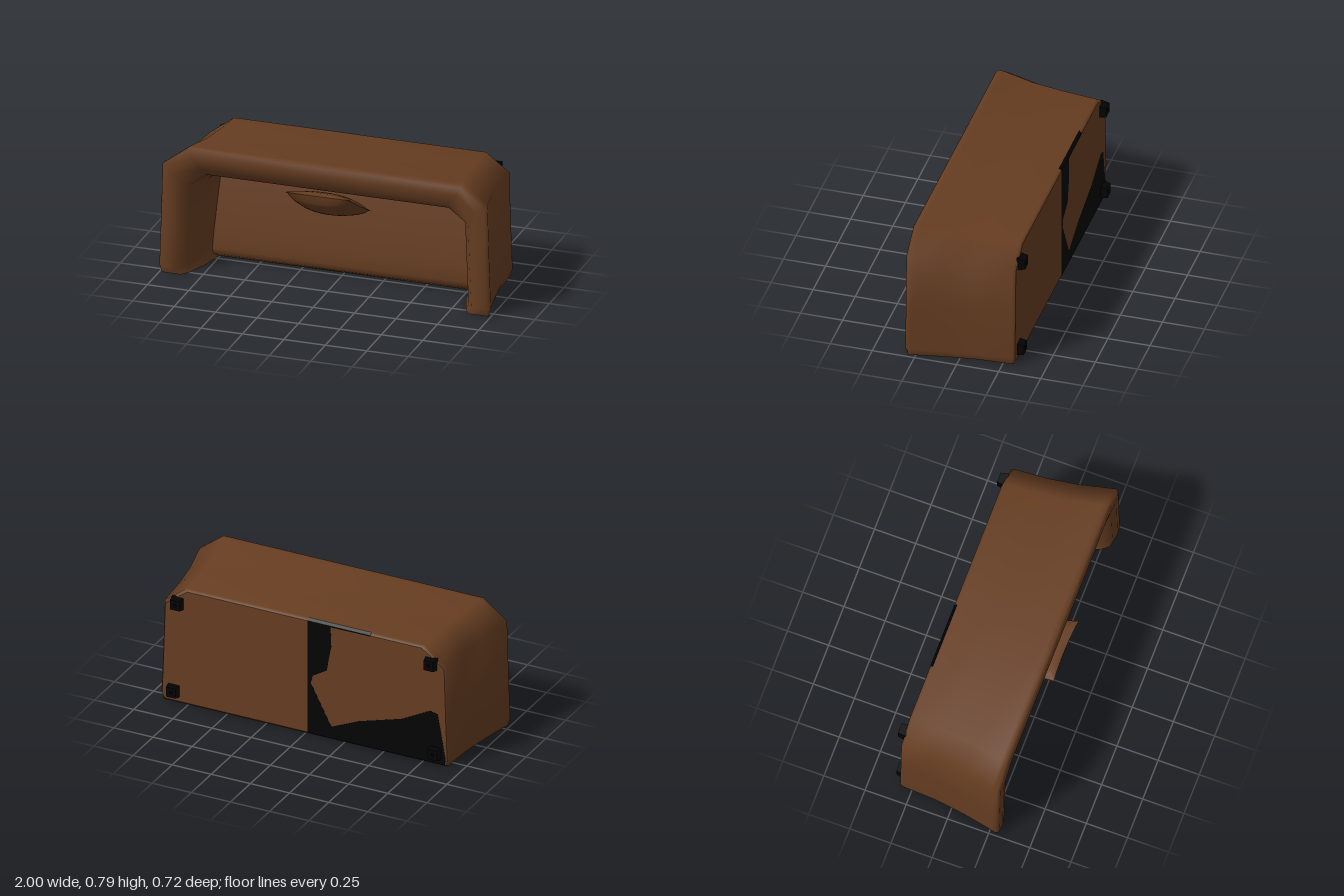
import * as THREE from 'three';

// Rings of the padded frame: half width, top height, corner cut, z
const RINGS = [
  [0.91, 0.732, 0.14, -0.32], [0.92, 0.746, 0.14, -0.305], [0.93, 0.757, 0.14, -0.1],
  [0.955, 0.77, 0.15, 0.08], [0.992, 0.789, 0.15, 0.265], [1.0, 0.786, 0.15, 0.293],
  [0.984, 0.773, 0.145, 0.308], [0.94, 0.728, 0.13, 0.313], [0.885, 0.667, 0.115, 0.302],
  [0.85, 0.618, 0.1, 0.25], [0.797, 0.582, 0.075, 0.1], [0.768, 0.556, 0.065, -0.1],
];

// Arch-shaped outline of one ring, from the foot of the +x arm over to the -x arm
function ringPoints([w, h, cut, z]) {
  const half = [
    [w - 0.016, 0, THREE.MathUtils.clamp(z, -0.305, 0.295)], [w, 0.045, z],
    [w - 0.01, (h - cut * 0.75) / 2, z], [w - 0.02, h - cut * 0.75, z], [w - 0.02 - cut, h, z],
  ];
  const mirrored = half.map(([x, y, d]) => [-x, y, d]).reverse();
  return [...half, [0, h, z], ...mirrored];
}

function frameGeometry() {
  const rings = RINGS.map(ringPoints);
  const n = rings[0].length;
  const index = [];
  for (let k = 0; k < rings.length - 1; k++) {
    for (let j = 0; j < n - 1; j++) {
      const a = k * n + j, b = a + 1, c = a + n, d = c + 1;
      index.push(a, b, c, b, d, c);
    }
  }
  const geo = new THREE.BufferGeometry();
  geo.setAttribute('position', new THREE.Float32BufferAttribute(rings.flat(2), 3));
  geo.setIndex(index);
  geo.computeVertexNormals();
  return geo;
}

// Gently bulging seat sheet that rolls under at its front edge: [y, z] rows
function seatGeometry() {
  const rows = [
    [0.575, -0.08], [0.45, -0.052], [0.3, -0.025], [0.15, -0.003],
    [0.06, 0.004], [0.025, -0.004], [0, -0.04], [0, -0.305],
  ];
  const geo = new THREE.PlaneGeometry(1.58, 1, 1, rows.length - 1);
  const p = geo.attributes.position;
  for (let i = 0; i < p.count; i++) {
    const [y, z] = rows[Math.floor(i / 2)];
    p.setXYZ(i, p.getX(i), y, z);
  }
  geo.computeVertexNormals();
  return geo;
}

const shapeOf = (pts) => new THREE.Shape(pts.map(([x, y]) => new THREE.Vector2(x, y)));

// One face of a square cushion with pinched seams; z is the thickness
function cushionSide(sign, thickness) {
  const geo = new THREE.PlaneGeometry(2, 2, 14, 14);
  const p = geo.attributes.position;
  for (let i = 0; i < p.count; i++) {
    const u = p.getX(i), v = p.getY(i);
    const puff = Math.max(0, (1 - u * u) * (1 - v * v)) ** 0.45;
    p.setXYZ(i, sign * u * (0.195 - 0.012 * (1 - v * v)), v * (0.207 - 0.012 * (1 - u * u)), sign * thickness * puff);
  }
  geo.computeVertexNormals();
  return geo;
}

// Tapered square foot with a small bore in its tip
function footGeometry() {
  const profile = [[0.053, 0], [0.043, 0.05], [0.013, 0.05], [0.013, 0.02], [0, 0.02]];
  const points = profile.map(([r, y]) => new THREE.Vector2(r, y));
  const geo = new THREE.LatheGeometry(points, 4).toNonIndexed();
  geo.computeVertexNormals();
  return geo.rotateY(Math.PI / 4).rotateX(-Math.PI / 2);
}

export function createModel() {
  const model = new THREE.Group();
  const brown = new THREE.MeshStandardMaterial({ color: 0x663d21, side: THREE.DoubleSide });
  brown.name = 'brown upholstery';
  const black = new THREE.MeshStandardMaterial({ color: 0x030303, side: THREE.DoubleSide });
  black.name = 'black';
  const add = (name, geo, mat, parent = model) => {
    const mesh = new THREE.Mesh(geo, mat);
    mesh.name = name;
    parent.add(mesh);
    return mesh;
  };

  // Arms and backrest in one padded sweep
  add('armsAndBackrest', frameGeometry(), brown);

  // Flat ends of the arms
  for (const side of [1, -1]) {
    const section = RINGS.slice(1).map((r) => ringPoints(r)[0]).map(([x, , z]) => [side * x, z]);
    section.push([side * 0.75, -0.305]);
    add('armEnd', new THREE.ShapeGeometry(shapeOf(section)).rotateX(Math.PI / 2), brown);
  }

  // Flat base with a bevelled lower edge
  const outline = ringPoints(RINGS[0]).map(([x, y]) => [x, Math.max(y, 0.015)]);
  const base = new THREE.ShapeGeometry(shapeOf(outline));
  add('basePanel', base.rotateY(Math.PI).translate(0, 0, -0.32), brown);
  const bevel = new THREE.PlaneGeometry(1.81, 0.0212).rotateX(Math.PI * 0.75);
  add('baseBevel', bevel.translate(0, 0.0075, -0.3125), brown);

  // Seat
  add('seat', seatGeometry(), brown);

  // Dark lining showing on the base, folded over its top edge
  const lining = shapeOf([
    [-0.02, 0.012], [-0.02, 0.733], [-0.42, 0.733], [-0.42, 0.727], [-0.165, 0.725],
    [-0.17, 0.6], [-0.14, 0.44], [-0.05, 0.385], [-0.04, 0.335], [-0.17, 0.085],
    [-0.35, 0.165], [-0.62, 0.245], [-0.8, 0.34], [-0.85, 0.33], [-0.9, 0.05], [-0.895, 0.012],
  ]);
  const liningGeo = new THREE.ExtrudeGeometry(lining, { depth: 0.003, bevelEnabled: false });
  add('baseLining', liningGeo.translate(0, 0, -0.321), black);
  const fold = add('liningFold', new THREE.BoxGeometry(0.4, 0.003, 0.0205), black);
  fold.position.set(-0.22, 0.7393, -0.313);
  fold.rotation.x = -Math.atan2(0.014, 0.015);

  // Four feet, the lower pair set slightly wider
  for (const side of [-1, 1]) {
    for (const [x, y] of [[0.835, 0.08], [0.81, 0.648]]) {
      add('foot', footGeometry(), black).position.set(side * x, y, -0.31);
    }
  }

  // Cushion leaning on the backrest
  const cushion = new THREE.Group();
  cushion.name = 'cushion';
  add('cushionFront', cushionSide(1, 0.072), brown, cushion);
  add('cushionBack', cushionSide(-1, 0.045), brown, cushion);
  cushion.position.set(-0.022, 0.523, 0.18);
  cushion.rotation.x = Math.atan2(0.355, 0.205);
  cushion.rotation.z = 0.02;
  model.add(cushion);

  return model;
}
